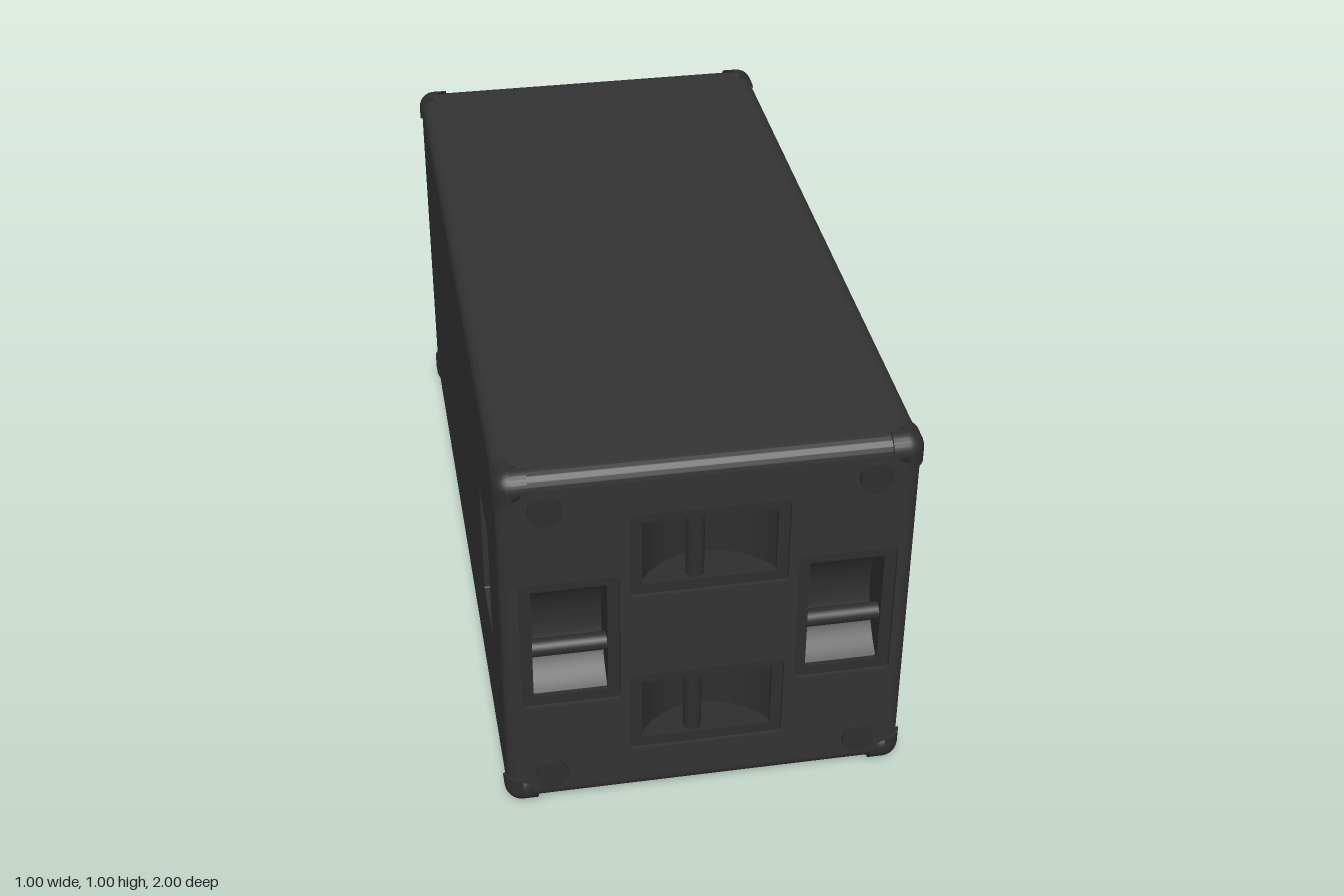
import * as THREE from 'three';
import { toCreasedNormals } from 'three/addons/utils/BufferGeometryUtils.js';

const mat = (color) => new THREE.MeshStandardMaterial({ color });
const shellMat = mat(0x333333), panelMat = mat(0x202020), trimMat = mat(0x2e2e2e);

const BODY = [0.494, 0.494, 0.987], BODY_R = 0.037;   // half sizes, edge radius
const CAP = [0.5, 0.5, 0.995], CAP_R = 0.043, CAP_ARM = 0.08;

function add(parent, name, geometry, material, x = 0, y = 0, z = 0) {
  const mesh = new THREE.Mesh(geometry, material);
  mesh.name = name;
  mesh.position.set(x, y, z);
  parent.add(mesh);
  return mesh;
}

// Rounded rectangle centred on (cx, cy)
function roundRect(w, h, r, cx = 0, cy = 0, Type = THREE.Shape) {
  const s = new Type(), x = w / 2 - r, y = h / 2 - r, q = Math.PI / 2;
  s.absarc(cx + x, cy + y, r, 0, q);
  s.absarc(cx - x, cy + y, r, q, 2 * q);
  s.absarc(cx - x, cy - y, r, 2 * q, 3 * q);
  s.absarc(cx + x, cy - y, r, 3 * q, 4 * q);
  s.closePath();
  return s;
}

// Plate whose outer face lies at z = 0, thickness going to -z
function plate(shape, depth) {
  const g = new THREE.ExtrudeGeometry(shape, { depth, bevelEnabled: false, curveSegments: 6 });
  return g.translate(0, 0, -depth);
}

function rect(w, h) {
  return new THREE.Shape([[-1, -1], [1, -1], [1, 1], [-1, 1]]
    .map(([x, y]) => new THREE.Vector2(x * w / 2, y * h / 2)));
}

// Quarter-round bar along axis k, in the quadrant (su, sv) of the other two axes
function quarterEdge(k, su, sv, r, half, from, to) {
  const u = (k + 1) % 3, v = (k + 2) % 3;
  const start = su > 0 ? (sv > 0 ? 0 : 1.5 * Math.PI) : (sv > 0 ? 0.5 * Math.PI : Math.PI);
  const s = new THREE.Shape();
  s.moveTo(0, 0);
  s.absarc(0, 0, r, start, start + Math.PI / 2);
  s.closePath();
  let g = new THREE.ExtrudeGeometry(s, { depth: to - from, bevelEnabled: false, curveSegments: 10 });
  g = toCreasedNormals(g, 0.5);
  const axes = [0, 1, 2].map((i) => new THREE.Vector3().setComponent(i, 1));
  const m = new THREE.Matrix4().makeBasis(axes[u], axes[v], axes[k]);
  const p = new THREE.Vector3();
  p.setComponent(u, su * (half[u] - r)).setComponent(v, sv * (half[v] - r)).setComponent(k, from);
  return g.applyMatrix4(m.setPosition(p));
}

// Recessed grip: framed opening, scooped floor and an off-centre bar; long axis x
function makeHandle(barX) {
  const g = new THREE.Group();
  g.name = 'handle';
  const frame = roundRect(0.374, 0.236, 0.012);
  frame.holes.push(roundRect(0.32, 0.18, 0.004, 0, 0, THREE.Path));
  add(g, 'handleFrame', plate(frame, 0.012), trimMat, 0, 0, -0.008);

  const R = 0.187, cy = 0.077, a = Math.asin(0.16 / R);
  const s = new THREE.Shape();
  s.moveTo(-0.17, -0.13);
  s.lineTo(0.17, -0.13);
  s.lineTo(0.17, -0.019);
  s.absarc(0, cy, R, -Math.PI / 2 + a, -Math.PI / 2 - a, true);
  s.lineTo(-0.17, -0.019);
  s.closePath();
  const scoop = new THREE.ExtrudeGeometry(s, { depth: 0.18, bevelEnabled: false, curveSegments: 24 });
  scoop.translate(0, 0, -0.09).rotateX(Math.PI / 2);
  add(g, 'handleScoop', toCreasedNormals(scoop, 0.4), trimMat);
  for (const side of [-1, 1])
    add(g, 'handleWall', new THREE.BoxGeometry(0.34, 0.01, 0.115), trimMat, 0, side * 0.095, -0.0725);
  add(g, 'handleBar', new THREE.CylinderGeometry(0.022, 0.022, 0.184, 24), trimMat, barX, 0, -0.036);
  return g;
}

// End face with four handles and four feet, facing +z
function makeEnd(name, dir) {
  const g = new THREE.Group();
  g.name = name;
  const side = 2 * (BODY[0] - BODY_R), face = rect(side, side);
  for (const s of [-1, 1]) {
    face.holes.push(roundRect(0.376, 0.238, 0.012, 0, s * 0.241, THREE.Path));
    face.holes.push(roundRect(0.238, 0.376, 0.012, s * 0.332, 0, THREE.Path));
    const flat = makeHandle(-0.03 * dir);
    flat.position.y = s * 0.241;
    const upright = makeHandle(-0.03);
    upright.rotation.z = Math.PI / 2;
    upright.position.x = s * 0.332;
    g.add(flat, upright);
    for (const t of [-1, 1]) {
      const foot = new THREE.CylinderGeometry(0.04, 0.04, 0.02, 32).rotateX(Math.PI / 2);
      add(g, 'foot', foot, trimMat, s * 0.384, t * 0.403, 0.003);
    }
  }
  add(g, 'endPanel', plate(face, 0.02), shellMat);
  g.position.z = dir * BODY[2];
  if (dir < 0) g.rotation.y = Math.PI;
  return g;
}

export function createModel() {
  const model = new THREE.Group();
  model.name = 'cabinet';
  const box = new THREE.Group();
  box.name = 'cabinetBody';
  box.position.y = 0.5;
  model.add(box);

  box.add(makeEnd('frontEnd', 1), makeEnd('backEnd', -1));

  const w = 2 * (BODY[0] - BODY_R), len = 2 * (BODY[2] - BODY_R);

  // Top and bottom
  for (const s of [1, -1]) {
    const p = add(box, s > 0 ? 'topPanel' : 'bottomPanel', plate(rect(w, len), 0.02), shellMat, 0, s * BODY[1], 0);
    p.rotation.x = -s * Math.PI / 2;
  }

  // Left side: thin rim around a slightly sunken grille
  const rim = rect(len, w);
  rim.holes.push(roundRect(len - 0.012, w - 0.012, 0.01, 0, 0, THREE.Path));
  add(box, 'grilleRim', plate(rim, 0.02), shellMat, BODY[0]).rotation.y = Math.PI / 2;
  add(box, 'grille', new THREE.BoxGeometry(0.01, w, len), panelMat, BODY[0] - 0.016);

  // Right side with the socket recess
  const wall = rect(len, w);
  wall.holes.push(roundRect(0.18, 0.32, 0.004, 0.64, 0, THREE.Path));
  add(box, 'sidePanel', plate(wall, 0.035), shellMat, -BODY[0]).rotation.y = -Math.PI / 2;
  add(box, 'socketPlate', new THREE.BoxGeometry(0.01, 0.34, 0.2), trimMat, -BODY[0] + 0.038, 0, 0.64);

  // Rounded edges and corner protectors
  for (let k = 0; k < 3; k++)
    for (const su of [-1, 1])
      for (const sv of [-1, 1]) {
        const e = BODY[k] - BODY_R;
        add(box, 'roundedEdge', quarterEdge(k, su, sv, BODY_R, BODY, -e, e), shellMat);
        const inner = CAP[k] - CAP_ARM, outer = CAP[k] - CAP_R;
        add(box, 'cornerArm', quarterEdge(k, su, sv, CAP_R, CAP, inner, outer), trimMat);
        add(box, 'cornerArm', quarterEdge(k, su, sv, CAP_R, CAP, -outer, -inner), trimMat);
      }
  for (const x of [-1, 1])
    for (const y of [-1, 1])
      for (const z of [-1, 1])
        add(box, 'cornerBall', new THREE.SphereGeometry(CAP_R, 24, 16), trimMat,
          x * (CAP[0] - CAP_R), y * (CAP[1] - CAP_R), z * (CAP[2] - CAP_R));

  return model;
}
